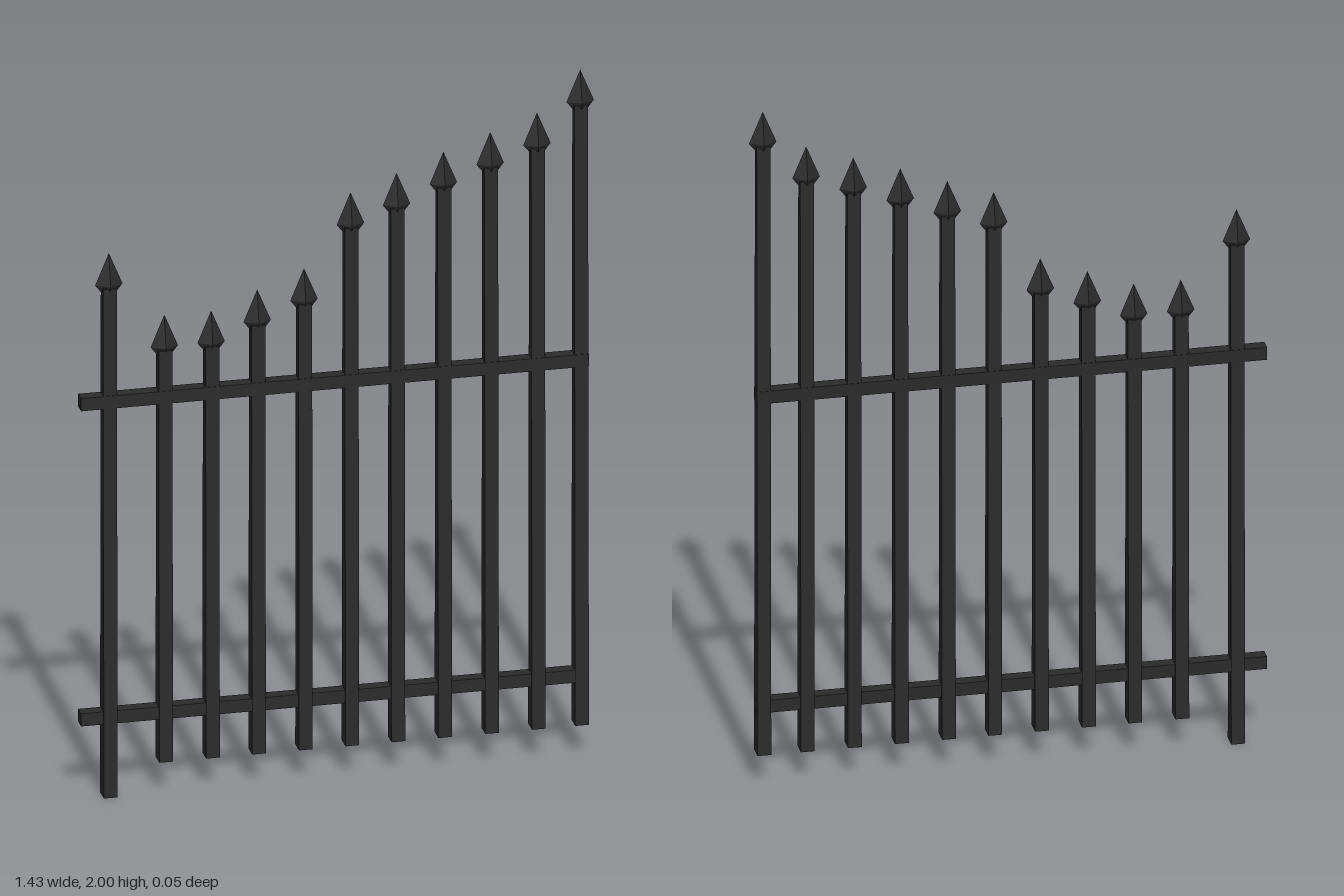
import * as THREE from 'three';

const iron = new THREE.MeshStandardMaterial({ color: 0x2a2a2a, flatShading: true });
iron.name = 'blackIron';

// x position, foot height and tip height of each upright
const uprights = [
  [-0.634, 0, 1.585], [-0.48, 0.09, 1.39], [-0.35, 0.09, 1.39], [-0.222, 0.09, 1.44],
  [-0.092, 0.09, 1.49], [0.037, 0.09, 1.7], [0.165, 0.09, 1.745], [0.295, 0.09, 1.795],
  [0.425, 0.09, 1.84], [0.555, 0.09, 1.885], [0.675, 0.09, 2],
];

function addMesh(parent, name, geometry, x, y) {
  const mesh = new THREE.Mesh(geometry, iron);
  mesh.name = name;
  mesh.position.set(x, y, 0);
  parent.add(mesh);
  return mesh;
}

// Square bar that thins from front to back as it rises
function barGeometry(foot, top) {
  const g = new THREE.BoxGeometry(0.038, top - foot, 1);
  g.translate(0, (foot + top) / 2, 0);
  const p = g.attributes.position;
  for (let i = 0; i < p.count; i++) p.setZ(i, p.getZ(i) * (0.047 - 0.012 * p.getY(i)));
  g.computeVertexNormals();
  return g;
}

// Four-sided spear head, flattened in depth, with its tip at the origin
function spearGeometry() {
  const profile = [[0, -0.12], [0.016, -0.12], [0.038, -0.092], [0, 0]];
  const g = new THREE.LatheGeometry(profile.map(([r, y]) => new THREE.Vector2(r, y)), 4);
  g.scale(1, 1, 0.56);
  return g;
}

export function createModel() {
  const gate = new THREE.Group();
  gate.name = 'ironFence';

  const spear = spearGeometry();
  for (const [x, foot, tip] of uprights) {
    const upright = new THREE.Group();
    upright.name = 'upright';
    addMesh(upright, 'bar', barGeometry(foot, tip - 0.1), x, 0);
    addMesh(upright, 'spearHead', spear, x, tip);
    gate.add(upright);
  }

  // Two cross rails
  const rail = new THREE.BoxGeometry(1.41, 0.037, 0.036);
  addMesh(gate, 'lowerRail', rail, -0.01, 0.233);
  addMesh(gate, 'upperRail', rail, -0.01, 1.155);

  return gate;
}
